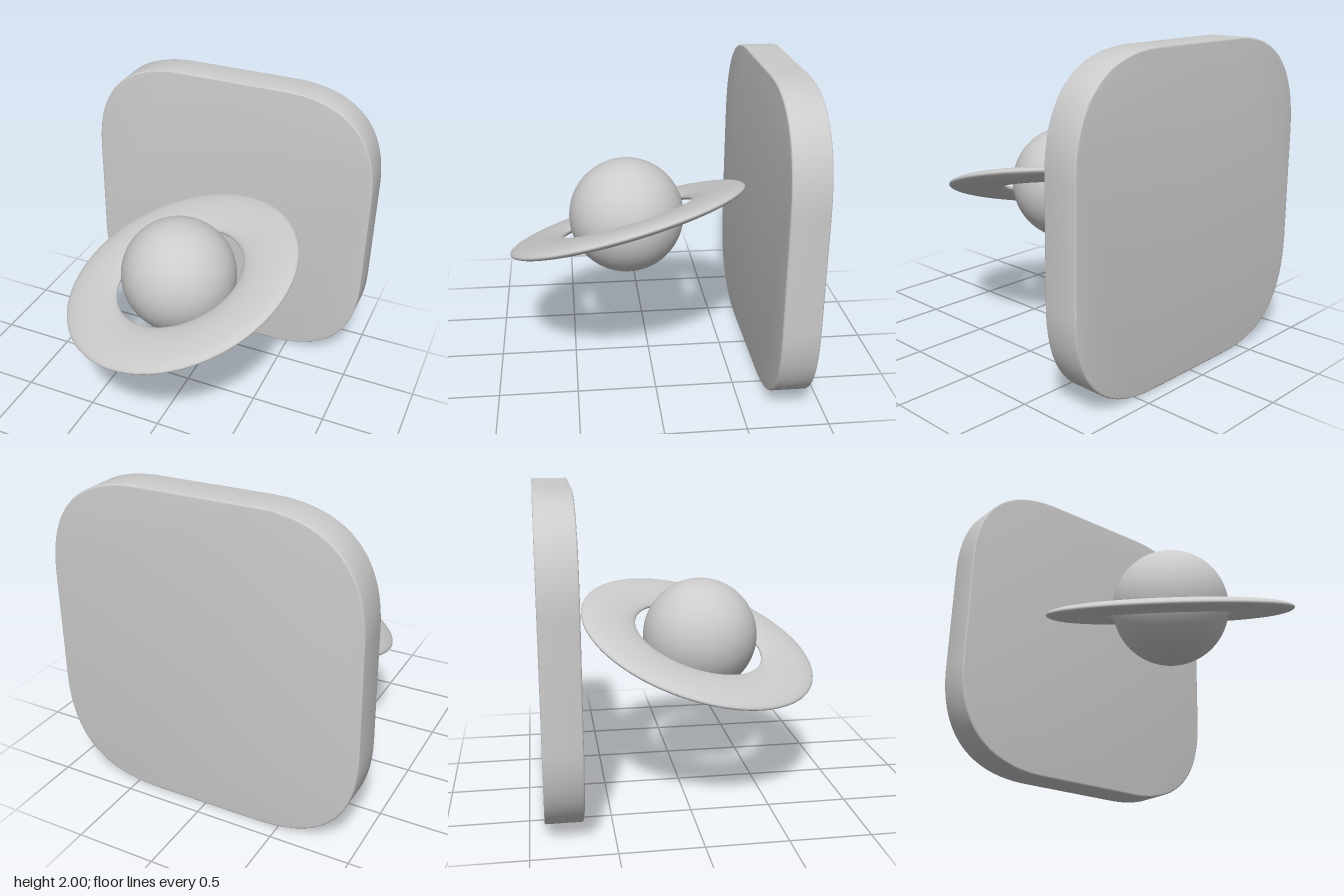
import * as THREE from 'three';
import { toCreasedNormals } from 'three/addons/utils/BufferGeometryUtils.js';

const material = new THREE.MeshStandardMaterial({ color: 0xcccccc });

function addPart(parent, name, geometry, x, y, z) {
  const mesh = new THREE.Mesh(geometry, material);
  mesh.name = name;
  mesh.position.set(x, y, z);
  parent.add(mesh);
  return mesh;
}

// Square with soft, continuously eased corners
function softSquare(half, corner) {
  const s = half - corner;
  const shape = new THREE.Shape();
  shape.moveTo(-s, -half);
  shape.lineTo(s, -half);
  shape.quadraticCurveTo(half, -half, half, -s);
  shape.lineTo(half, s);
  shape.quadraticCurveTo(half, half, s, half);
  shape.lineTo(-s, half);
  shape.quadraticCurveTo(-half, half, -half, s);
  shape.lineTo(-half, -s);
  shape.quadraticCurveTo(-half, -half, -s, -half);
  return shape;
}

export function createModel() {
  const model = new THREE.Group();
  model.name = 'ringedPlanetPlaque';

  // Back plate with a fine edge bevel
  const bevel = 0.01;
  const plate = new THREE.ExtrudeGeometry(softSquare(1, 0.65), {
    depth: 0.23 - 2 * bevel,
    bevelThickness: bevel,
    bevelSize: bevel,
    bevelOffset: -bevel,
    bevelSegments: 3,
    curveSegments: 32,
  });
  addPart(model, 'backPlate', toCreasedNormals(plate, 0.6), 0, 1, -0.91 + bevel);

  // Planet
  addPart(model, 'planet', new THREE.SphereGeometry(0.372, 64, 48), 0, 1.005, 0.142);

  // Flattened ring, tilted towards the front and to the right side
  const ringGeometry = new THREE.TorusGeometry(0.613, 0.18, 40, 128);
  ringGeometry.rotateX(-Math.PI / 2);
  ringGeometry.scale(1, 0.23, 1);
  const ring = addPart(model, 'planetRing', ringGeometry, 0, 0.978, 0.135);
  const tiltNormal = new THREE.Vector3(-0.262, 0.93, 0.255).normalize();
  ring.quaternion.setFromUnitVectors(new THREE.Vector3(0, 1, 0), tiltNormal);

  return model;
}
